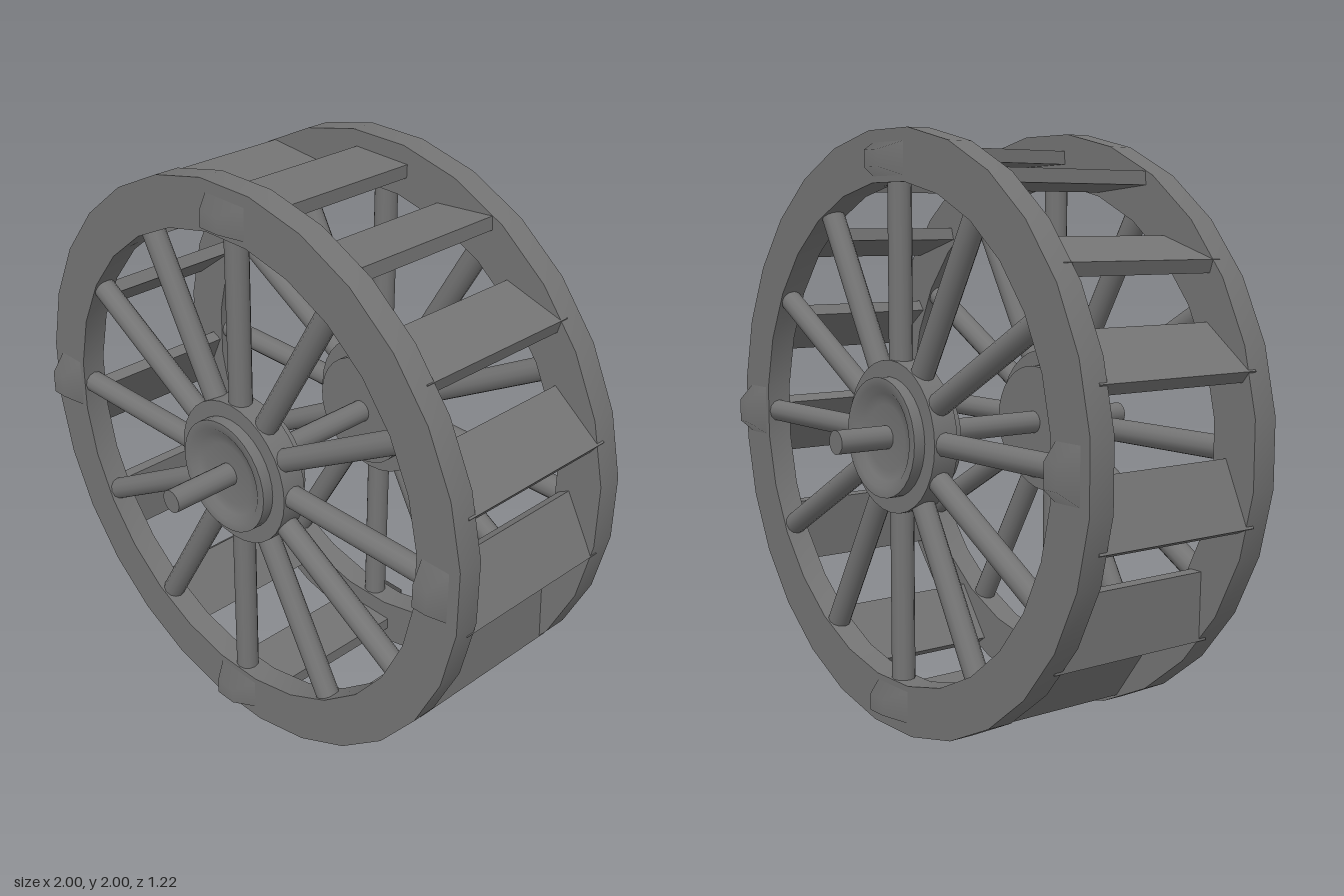
import * as THREE from 'three';
import { toCreasedNormals } from 'three/addons/utils/BufferGeometryUtils.js';

const material = new THREE.MeshStandardMaterial({ color: 0x747474 });
const AXIS = 1; // height of the axle

function add(parent, name, geometry) {
  const mesh = new THREE.Mesh(geometry, material);
  mesh.name = name;
  parent.add(mesh);
  return mesh;
}

// Regular polygon with flat sides facing up and sideways
function polygon(path, sides, apothem) {
  const r = apothem / Math.cos(Math.PI / sides);
  const points = [];
  for (let i = 0; i < sides; i++) {
    const a = ((i + 0.5) / sides) * Math.PI * 2;
    points.push(new THREE.Vector2(r * Math.cos(a), r * Math.sin(a)));
  }
  return path.setFromPoints(points);
}

// Block tapering towards +z, with soft normals so it blends into the rim face
function taperedBlock(w, h, d, topW, topH) {
  const geo = new THREE.BoxGeometry(w, h, d).translate(0, 0, d / 2);
  const p = geo.attributes.position;
  const n = new THREE.Vector3();
  for (let i = 0; i < p.count; i++) {
    if (p.getZ(i) > d / 2) p.setXY(i, p.getX(i) * topW / w, p.getY(i) * topH / h);
    n.set(p.getX(i) * 2, p.getY(i) * 2, 1).normalize();
    geo.attributes.normal.setXYZ(i, n.x, n.y, n.z);
  }
  return geo;
}

// One spoked wheel, centred on its axis, outer side towards +z
function createWheel(name) {
  const wheel = new THREE.Group();
  wheel.name = name;

  const shape = polygon(new THREE.Shape(), 28, 1);
  shape.holes.push(polygon(new THREE.Path(), 28, 0.83));
  const rim = new THREE.ExtrudeGeometry(shape, { depth: 0.09, bevelEnabled: false });
  add(wheel, 'rim', toCreasedNormals(rim.translate(0, 0, -0.045), 0.6));

  // Hub with a wide collar and a softly dished outer face
  const profile = [
    [0, -0.1], [0.2, -0.1], [0.2, -0.045], [0.255, -0.045], [0.255, 0.045],
    [0.2, 0.045], [0.2, 0.085], [0.17, 0.085], [0.145, 0.066], [0.11, 0.06], [0, 0.06],
  ].map(([r, z]) => new THREE.Vector2(r, z));
  const hub = new THREE.LatheGeometry(profile, 32).rotateX(Math.PI / 2);
  add(wheel, 'hub', toCreasedNormals(hub, 0.8));

  for (let i = 0; i < 12; i++) {
    const spoke = new THREE.CylinderGeometry(0.04, 0.04, 0.66, 12).translate(0, 0.52, 0);
    add(wheel, 'spoke', spoke).rotation.z = (i * Math.PI) / 6;
  }

  // Four studs on the outer face of the rim
  for (let i = 0; i < 4; i++) {
    const stud = taperedBlock(0.18, 0.11, 0.067, 0.08, 0.055).translate(0, 0.905, 0.043);
    add(wheel, 'rimStud', stud).rotation.z = (i * Math.PI) / 2;
  }
  return wheel;
}

export function createModel() {
  const model = new THREE.Group();
  model.name = 'waterWheel';

  const front = createWheel('frontWheel');
  front.position.set(0, AXIS, 0.305);
  const back = createWheel('backWheel');
  back.position.set(0, AXIS, -0.355);
  back.rotation.y = Math.PI;
  model.add(front, back);

  const axle = new THREE.CylinderGeometry(0.04, 0.04, 1.22, 16).rotateX(Math.PI / 2);
  add(model, 'axle', axle).position.y = AXIS;

  // Paddles as [angle around the wheel, tilt from the tangent], upper edges leaning inward
  const paddles = [
    [89, 0], [65.5, 30], [43, 31], [19.5, 33], [-4, 33], [-30, 33], [-61, 25], [-90, 0],
    [115, -30], [139, -31], [160.5, -33], [188.5, -33], [214, -33], [241, -25],
  ];
  for (const [angle, tilt] of paddles) {
    const mount = new THREE.Group();
    mount.name = 'paddleMount';
    mount.position.y = AXIS;
    mount.rotation.z = THREE.MathUtils.degToRad(angle);
    const geo = new THREE.BoxGeometry(0.045, 0.23, 0.63).translate(0, 0, -0.025);
    const paddle = add(mount, 'paddle', geo);
    paddle.position.x = 0.92;
    paddle.rotation.z = THREE.MathUtils.degToRad(tilt);
    model.add(mount);
  }
  return model;
}
